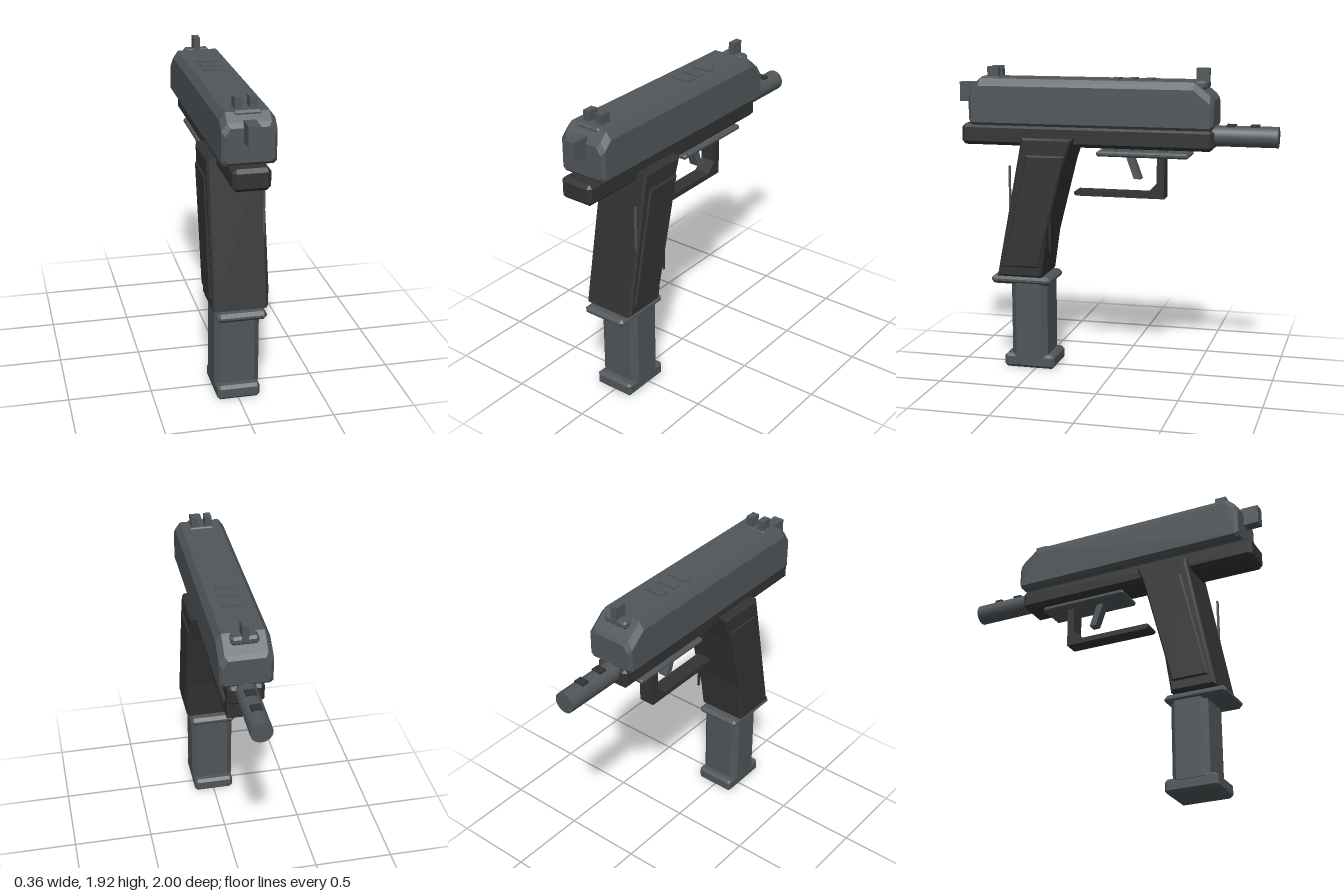
import * as THREE from 'three';
import { ConvexGeometry } from 'three/addons/geometries/ConvexGeometry.js';

const steel = new THREE.MeshStandardMaterial({ color: 0x50565a });
steel.name = 'grey steel';
const polymer = new THREE.MeshStandardMaterial({ color: 0x333333 });
polymer.name = 'dark polymer';

export function createModel() {
  const group = new THREE.Group();
  const add = (name, geometry, material) => {
    const mesh = new THREE.Mesh(geometry, material);
    mesh.name = name;
    group.add(mesh);
    return mesh;
  };

  // Plain box given by its limits on each axis
  const box = (name, mat, x0, x1, y0, y1, z0, z1) =>
    add(name, new THREE.BoxGeometry(x1 - x0, y1 - y0, z1 - z0)
      .translate((x0 + x1) / 2, (y0 + y1) / 2, (z0 + z1) / 2), mat);

  // Box centred on x with every edge chamfered by c
  const chamferBox = (name, mat, hx, y0, y1, z0, z1, c) => {
    const points = [];
    for (const sx of [-1, 1]) for (const [y, sy] of [[y0, 1], [y1, -1]]) for (const [z, sz] of [[z0, 1], [z1, -1]]) {
      points.push(
        new THREE.Vector3(sx * hx, y + sy * c, z + sz * c),
        new THREE.Vector3(sx * (hx - c), y, z + sz * c),
        new THREE.Vector3(sx * (hx - c), y + sy * c, z));
    }
    return add(name, new ConvexGeometry(points), mat);
  };

  // Side profile of [z, y] points, extruded across x
  const sideExtrude = (name, mat, profile, halfWidth, bevel = 0) => {
    const shape = new THREE.Shape(profile.map(([z, y]) => new THREE.Vector2(z, y)));
    const depth = 2 * (halfWidth - bevel);
    const geometry = new THREE.ExtrudeGeometry(shape, {
      depth, bevelEnabled: bevel > 0, bevelSize: bevel, bevelThickness: bevel,
      bevelOffset: -bevel, bevelSegments: 1,
    });
    geometry.translate(0, 0, -depth / 2).rotateY(-Math.PI / 2);
    return add(name, geometry, mat);
  };

  // Slide: octagonal sections [z, half width, bottom, top] joined in a hull
  const slidePoints = [];
  const sections = [
    [0.905, 0.137, 1.575, 1.77], [0.885, 0.155, 1.555, 1.795], [0.835, 0.155, 1.555, 1.843],
    [-0.505, 0.155, 1.555, 1.843], [-0.605, 0.155, 1.555, 1.76], [-0.625, 0.137, 1.575, 1.735],
  ];
  for (const [z, hx, y0, y1] of sections) {
    for (const s of [-1, 1]) {
      slidePoints.push(
        new THREE.Vector3(s * (hx - 0.018), y0, z), new THREE.Vector3(s * hx, y0 + 0.018, z),
        new THREE.Vector3(s * hx, y1 - 0.045, z), new THREE.Vector3(s * (hx - 0.032), y1, z));
    }
  }
  add('slide', new ConvexGeometry(slidePoints), steel);
  box('chargingHandle', steel, -0.034, 0.034, 1.69, 1.81, 0.89, 1);
  [-0.005, -0.105, -0.21].forEach(z =>
    box('topRidge', steel, -0.06, 0.06, 1.835, 1.852, z - 0.025, z + 0.025));

  // Sights
  chamferBox('rearSightBase', steel, 0.08, 1.81, 1.85, 0.72, 0.85, 0.012);
  for (const s of [-1, 1]) {
    box('rearSightPost', steel, s * 0.0425 - 0.022, s * 0.0425 + 0.022, 1.84, 1.91, 0.735, 0.805);
  }
  chamferBox('frontSightBase', steel, 0.08, 1.795, 1.848, -0.575, -0.495, 0.015);
  box('frontSightPost', steel, -0.019, 0.019, 1.835, 1.92, -0.58, -0.5);

  // Frame and barrel
  chamferBox('frame', polymer, 0.108, 1.427, 1.557, -0.62, 0.97, 0.022);
  const barrel = new THREE.CylinderGeometry(0.064, 0.064, 0.42, 24).rotateX(Math.PI / 2);
  add('barrel', barrel.translate(0, 1.515, -0.79), steel);
  for (const z of [-0.715, -0.858]) {
    box('barrelVent', polymer, -0.03, 0.03, 1.56, 1.586, z - 0.026, z + 0.026);
  }

  // Raked grip with raised side panels
  sideExtrude('grip', polymer, [
    [0.73, 0.605], [0.445, 0.605], [0.375, 1.09], [0.235, 1.485], [0.56, 1.485],
  ], 0.167, 0.014);
  sideExtrude('gripPanels', polymer, [
    [0.69, 0.67], [0.46, 0.67], [0.28, 1.38], [0.53, 1.38],
  ], 0.178, 0.01);
  box('rearGripRod', steel, 0.146, 0.158, 0.92, 1.31, 0.634, 0.646);
  box('frontGripRod', polymer, 0.146, 0.158, 0.78, 1.1, 0.379, 0.391);

  // Magazine
  chamferBox('magazineCollar', steel, 0.148, 0.55, 0.603, 0.39, 0.78, 0.02);
  const well = new THREE.Shape();
  const [hx, hz, c] = [0.137, 0.117, 0.035];
  [[hx, hz - c], [hx - c, hz], [c - hx, hz], [-hx, hz - c],
    [-hx, c - hz], [c - hx, -hz], [hx - c, -hz], [hx, c - hz]]
    .forEach(([x, z], i) => (i ? well.lineTo(x, z) : well.moveTo(x, z)));
  add('magazine', new THREE.ExtrudeGeometry(well, { depth: 0.52, bevelEnabled: false })
    .rotateX(-Math.PI / 2).translate(0, 0.07, 0.538), steel);
  chamferBox('magazineBase', steel, 0.13, 0, 0.09, 0.375, 0.705, 0.018);

  // Trigger plate, its pegs and the trigger
  chamferBox('triggerPlate', steel, 0.1, 1.377, 1.409, -0.47, 0.103, 0.01);
  for (const z of [0.02, -0.08, -0.145, -0.3]) {
    box('platePeg', steel, -0.04, 0.04, 1.4, 1.44, z - 0.025, z + 0.025);
  }
  sideExtrude('trigger', steel, [
    [-0.165, 1.235], [-0.105, 1.4], [-0.06, 1.4], [-0.12, 1.235],
  ], 0.03);

  // Trigger guard with a corner gusset
  sideExtrude('triggerGuard', polymer, [
    [0.245, 1.12], [-0.315, 1.12], [-0.315, 1.4], [-0.268, 1.4], [-0.268, 1.215],
    [-0.205, 1.153], [0.245, 1.153], [0.257, 1.143], [0.257, 1.13],
  ], 0.05);

  return group;
}
